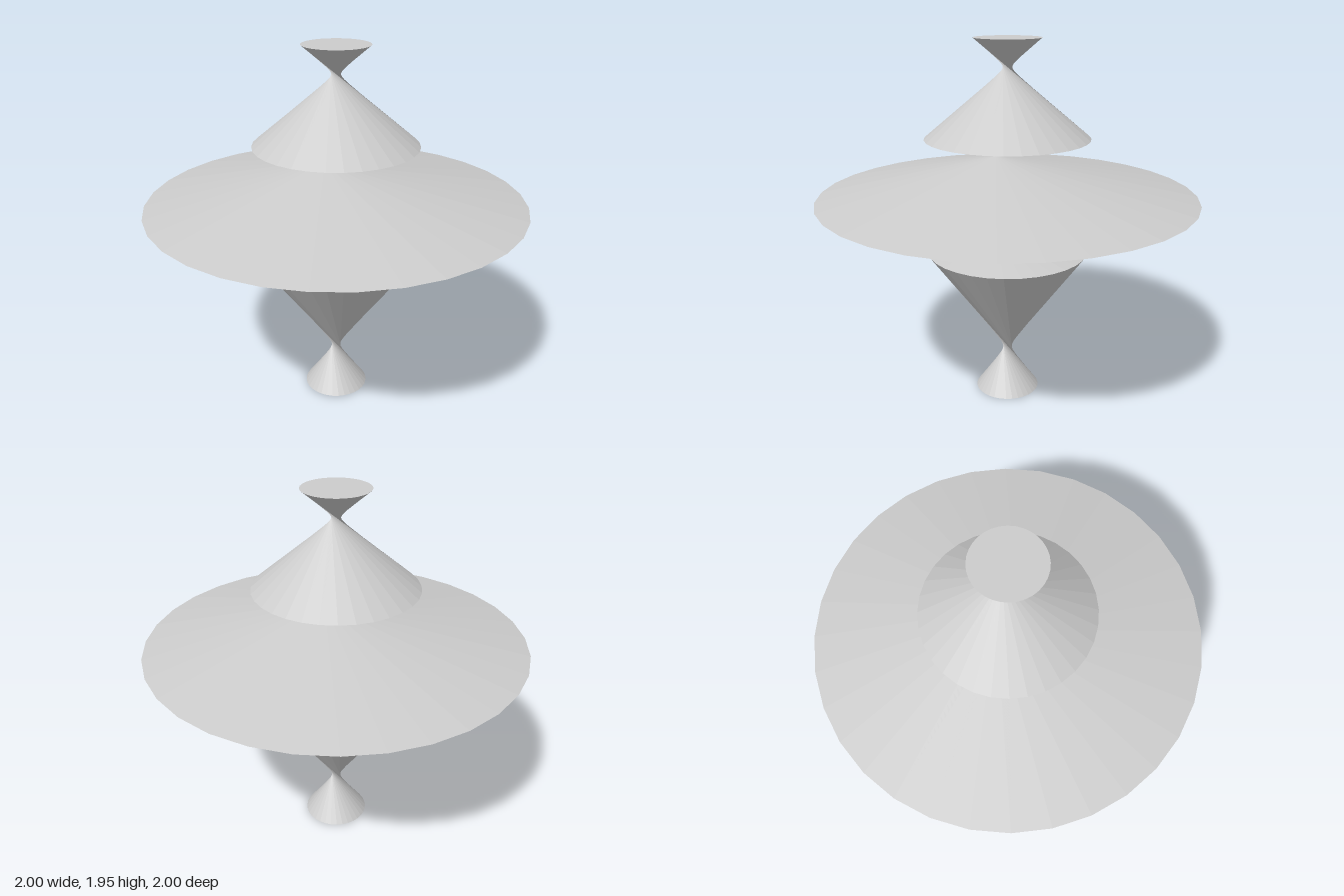
import * as THREE from 'three';

const SIDES = 32;
const HALF_TURN = SIDES / 2;

// Rings from the foot to the top: [radius, height]
const RINGS = [[0.175, 0], [0.433, 0.832], [1, 1.137], [0.433, 1.442], [0.175, 1.947]];
const NAMES = ['lowerTwist', 'lowerDisc', 'upperDisc', 'upperTwist'];

const material = new THREE.MeshStandardMaterial({
  color: 0xcccccc, flatShading: true, side: THREE.DoubleSide,
});

// Straight-ruled band whose upper ring is turned about half a turn,
// pinching it into a narrow waist
function twistedBand([r0, y0], [r1, y1]) {
  const positions = [];
  const index = [];
  for (const [r, y] of [[r0, y0], [r1, y1]]) {
    for (let i = 0; i < SIDES; i++) {
      const a = (i / SIDES) * Math.PI * 2;
      positions.push(r * Math.sin(a), y, r * Math.cos(a));
    }
  }
  const upper = (i) => SIDES + (i % SIDES);
  for (let i = 0; i < SIDES; i++) {
    const b0 = upper(i + HALF_TURN);
    const b1 = upper(i + HALF_TURN + 1);
    index.push(i, (i + 1) % SIDES, b1, i, b1, b0);
  }
  const geometry = new THREE.BufferGeometry();
  geometry.setAttribute('position', new THREE.Float32BufferAttribute(positions, 3));
  geometry.setIndex(index);
  const flat = geometry.toNonIndexed();
  flat.computeVertexNormals();
  return flat;
}

export function createModel() {
  const group = new THREE.Group();
  group.name = 'twistedSpindle';

  const add = (name, geometry) => {
    const mesh = new THREE.Mesh(geometry, material);
    mesh.name = name;
    group.add(mesh);
    return mesh;
  };

  // Four pinched bands stacked ring to ring
  NAMES.forEach((name, i) => add(name, twistedBand(RINGS[i], RINGS[i + 1])));

  // Flat end caps
  const [footRadius, footY] = RINGS[0];
  const [topRadius, topY] = RINGS[RINGS.length - 1];
  const foot = add('footCap', new THREE.CircleGeometry(footRadius, SIDES).rotateX(Math.PI / 2));
  foot.position.y = footY;
  const top = add('topCap', new THREE.CircleGeometry(topRadius, SIDES).rotateX(-Math.PI / 2));
  top.position.y = topY;

  return group;
}
